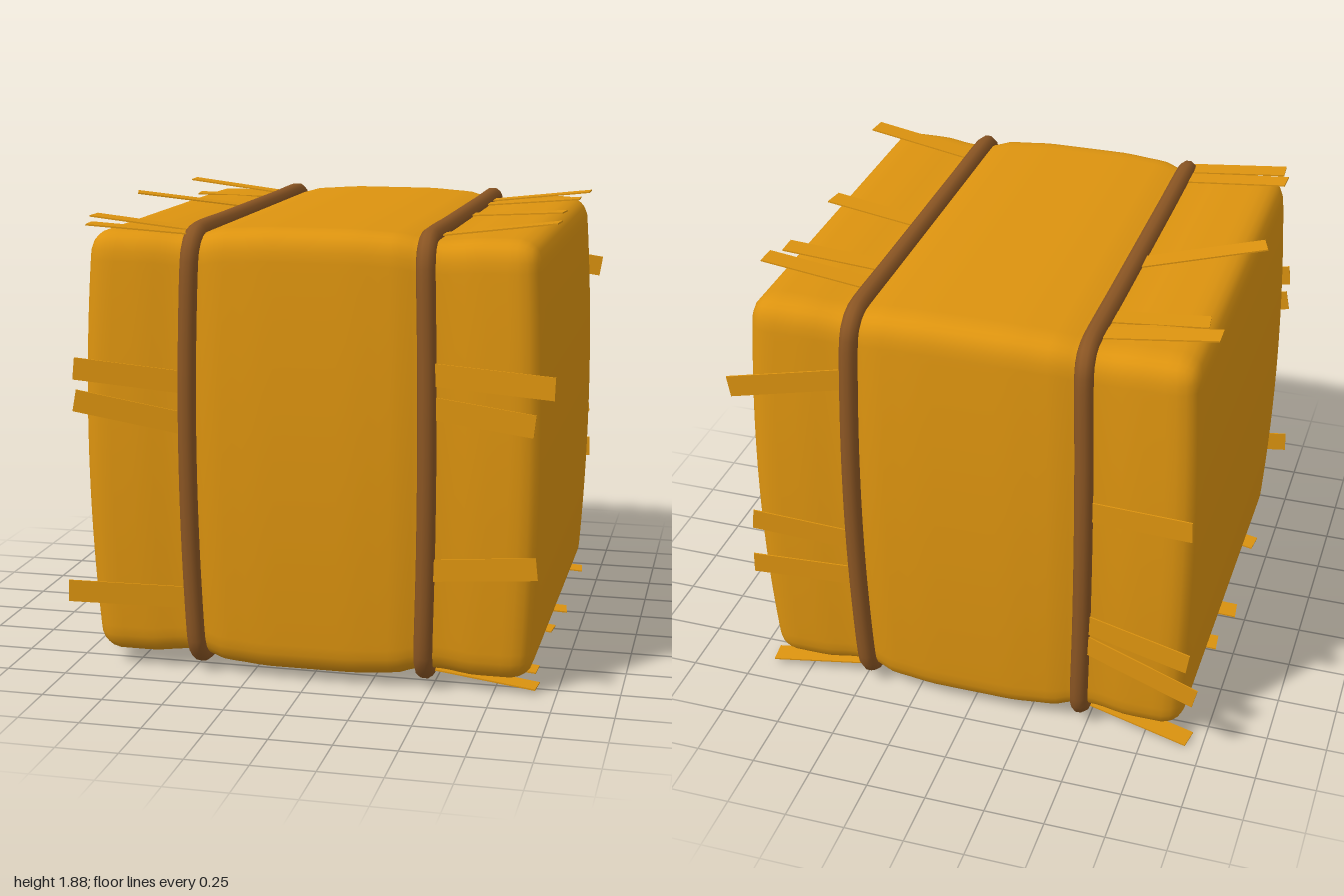
import * as THREE from 'three';
import { mergeVertices } from 'three/addons/utils/BufferGeometryUtils.js';

const CY = 0.965, CZ = -0.01; // centre of the bale
const { clamp, smoothstep } = THREE.MathUtils;

// Half height of the bale along x: full in the middle, pinched under the ropes
function halfHeight(x) {
  const a = Math.abs(x);
  return 0.902 - 0.01 * smoothstep(a, 0.15, 0.36) - 0.026 * smoothstep(a, 0.34, 0.47) + 0.013 * smoothstep(a, 0.52, 0.68);
}

// Rounded block, pinched along x and barrelled over its height
function baleGeometry() {
  const half = [0.9, 0.88, 0.88], r = 0.09;
  let g = new THREE.BoxGeometry(1.8, 1.76, 1.76, 44, 44, 44);
  g.deleteAttribute('uv');
  g.deleteAttribute('normal');
  const pos = g.attributes.position;
  const p = new THREE.Vector3(), inner = new THREE.Vector3();
  for (let i = 0; i < pos.count; i++) {
    p.fromBufferAttribute(pos, i);
    inner.set(...p.toArray().map((v, k) => clamp(v, r - half[k], half[k] - r)));
    p.sub(inner).setLength(r).add(inner);
    const s = halfHeight(p.x) / 0.88;
    const barrel = 1 - (p.y / 0.88) ** 2;
    pos.setXYZ(i, p.x * (1 + 0.037 * barrel), p.y * s, p.z * s * (1.005 + 0.035 * barrel));
  }
  g = mergeVertices(g, 1e-4);
  g.computeVertexNormals();
  return g;
}

// Closed rope loop following the bale's rounded, barrelled outline
function ropeGeometry(side) {
  const points = [], r = 0.1, h = 0.875, w = 0.885;
  const add = (y, z) => {
    const b = 1 - (y / h) ** 2;
    points.push(new THREE.Vector3(side * (0.468 + 0.018 * b), y, z * (1 + 0.035 * b)));
  };
  for (let c = 0; c < 4; c++) {
    const sy = c === 0 || c === 3 ? 1 : -1, sz = c < 2 ? 1 : -1;
    for (let k = 0; k <= 4; k++) {
      const a = (c + k / 4) * Math.PI / 2;
      add(sy * (h - r) + r * Math.cos(a), sz * (w - r) + r * Math.sin(a));
    }
    for (const t of [0.25, 0.5, 0.75]) {
      if (c % 2 === 0) add(sy * (h - r) * (1 - 2 * t), sz * w);
      else add(sy * h, sz * (w - r) * (1 - 2 * t));
    }
  }
  const path = new THREE.CatmullRomCurve3(points, true, 'centripetal');
  return new THREE.TubeGeometry(path, 160, 0.038, 10, true);
}

// Flat straws on one face: each runs from a rope to [end x, position at rope, position at end]
function strawFace(name, turn, base, toLocal, straws, material) {
  const group = new THREE.Group();
  group.name = name;
  group.position.set(0, CY, CZ);
  group.rotation.x = turn;
  const xAxis = new THREE.Vector3(1, 0, 0);
  for (const [x, t0, t1] of straws) {
    const s = Math.sign(x), reach = Math.abs(x);
    // Longer straws lift further off the bale
    const lift = base + 0.03 + 0.6 * (reach - 0.9);
    const start = new THREE.Vector3(s * 0.47, base, toLocal(t0));
    const end = new THREE.Vector3(x, lift, toLocal(t1));
    const dir = end.clone().sub(start);
    const straw = new THREE.Mesh(new THREE.BoxGeometry(dir.length(), 0.006, 0.09), material);
    straw.name = 'straw';
    straw.position.copy(start).add(end).multiplyScalar(0.5);
    straw.quaternion.setFromUnitVectors(xAxis, dir.normalize().multiplyScalar(s));
    group.add(straw);
  }
  return group;
}

export function createModel() {
  const hay = new THREE.MeshStandardMaterial({ color: 0xdc930f });
  hay.name = 'hay';
  const twine = new THREE.MeshStandardMaterial({ color: 0x8a5523 });
  twine.name = 'twine';

  const model = new THREE.Group();
  model.name = 'hayBale';
  const add = (name, geometry, material) => {
    const mesh = new THREE.Mesh(geometry, material);
    mesh.name = name;
    mesh.position.set(0, CY, CZ);
    model.add(mesh);
  };

  // Bale and its two ropes
  add('bale', baleGeometry(), hay);
  add('leftRope', ropeGeometry(1), twine);
  add('rightRope', ropeGeometry(-1), twine);

  // Loose straws, tucked under the ropes; positions run along z or y
  const top = [
    [-0.95, -0.72, -0.71], [-0.87, -0.59, -0.54], [-0.97, -0.13, 0.04], [-0.93, 0.71, 0.7], [-0.9, 0.81, 0.84],
    [0.94, -0.61, -0.6], [0.91, -0.45, -0.46], [0.9, -0.04, 0.02], [0.96, 0.66, 0.7]];
  const front = [
    [-0.94, 1.25, 1.3], [-0.94, 1.08, 1.17], [-0.98, 0.36, 0.38],
    [0.99, 1.33, 1.31], [0.91, 1.2, 1.15], [0.93, 0.54, 0.59]];
  const back = [
    [0.96, 1.58, 1.5], [0.92, 0.8, 0.85], [0.93, 0.62, 0.63],
    [-0.93, 1.15, 1.17], [-0.94, 0.6, 0.53], [-0.98, 0.5, 0.38]];
  const bottom = [
    [0.92, 0.74, 0.78], [0.9, 0.6, 0.62], [0.9, 0.06, 0.1], [0.92, -0.15, -0.22], [0.92, -0.8, -0.85],
    [-0.93, 0.62, 0.57], [-0.95, 0, 0.05], [-0.92, -0.26, -0.22], [-0.94, -0.78, -0.86]];
  model.add(
    strawFace('topStraws', 0, 0.872, z => z - CZ, top, hay),
    strawFace('frontStraws', Math.PI / 2, 0.91, y => CY - y, front, hay),
    strawFace('backStraws', -Math.PI / 2, 0.91, y => y - CY, back, hay),
    strawFace('bottomStraws', Math.PI, 0.872, z => CZ - z, bottom, hay),
  );
  return model;
}
